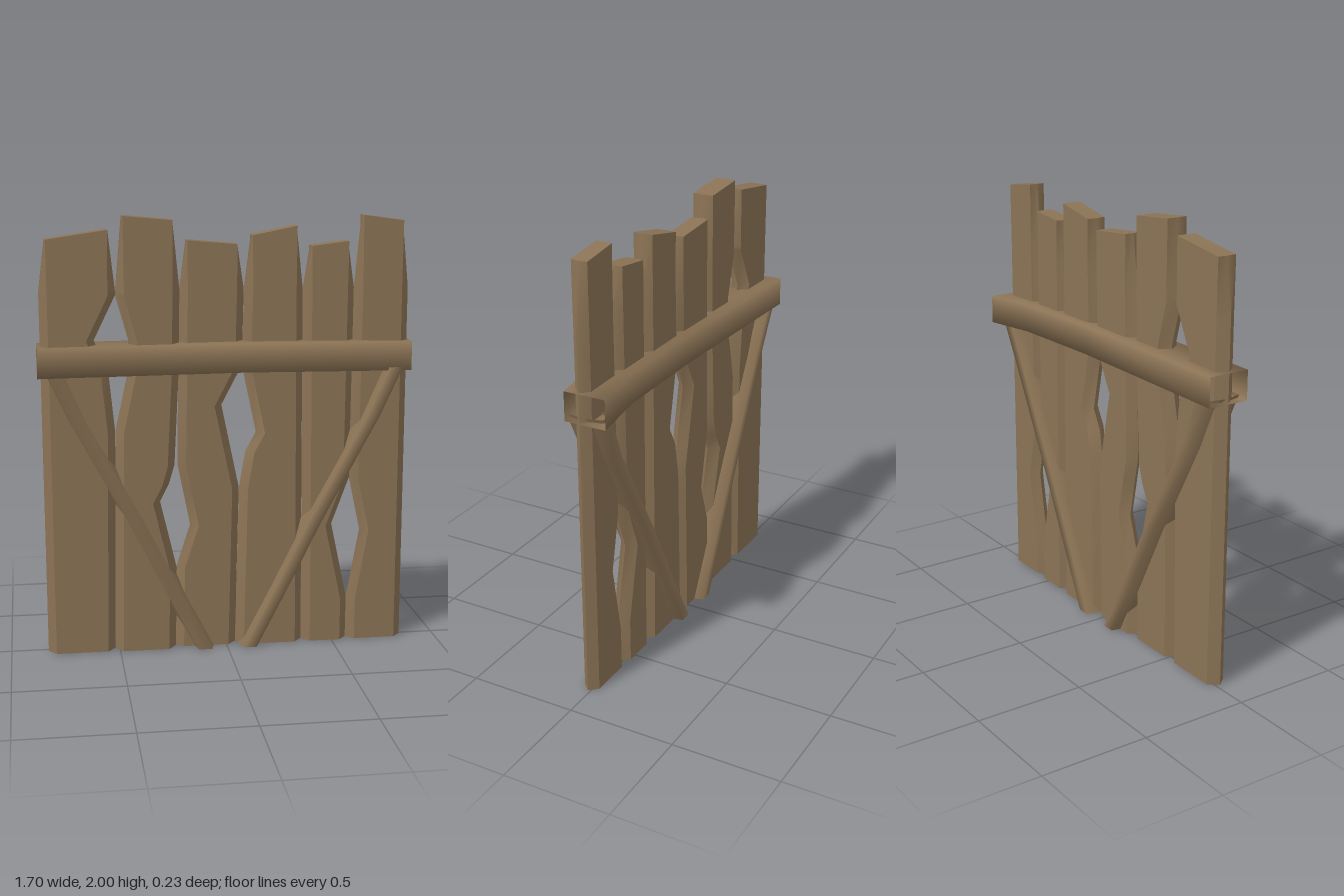
import * as THREE from 'three';
import { toCreasedNormals } from 'three/addons/utils/BufferGeometryUtils.js';

// Skin a list of equal-length rings, optionally closing both ends
function loft(rings, capped) {
  const n = rings[0].length, idx = [];
  for (let i = 0; i < rings.length - 1; i++) {
    for (let j = 0; j < n; j++) {
      const a = i * n + j, b = i * n + (j + 1) % n;
      idx.push(a, a + n, b, b, a + n, b + n);
    }
  }
  if (capped) {
    const top = (rings.length - 1) * n;
    for (let j = 1; j < n - 1; j++) {
      idx.push(0, j, j + 1, top, top + j + 1, top + j);
    }
  }
  const g = new THREE.BufferGeometry();
  g.setAttribute('position', new THREE.Float32BufferAttribute(rings.flat(2), 3));
  g.setIndex(idx);
  g.computeVertexNormals();
  return g;
}

// Six-sided section: flat front and back, pointed sides
function hexRing(yl, yr, xl, xr, zb, zf, inset) {
  const zm = (zb + zf) / 2;
  return [[xr, yr, zm], [xr - inset, yr, zf], [xl + inset, yl, zf],
    [xl, yl, zm], [xl + inset, yl, zb], [xr - inset, yr, zb]];
}

// Plank seams from the ground up to the shoulder height
const SHOULDER = 1.67;
const SEAM_LOW = [-0.83, -0.52, -0.237, 0.045, 0.36, 0.575, 0.84];
const SEAM_HIGH = [-0.835, -0.497, -0.21, 0.083, 0.352, 0.588, 0.84];
const seamX = (i, y) => THREE.MathUtils.lerp(SEAM_LOW[i], SEAM_HIGH[i], y / SHOULDER);

// Depth of a worn hollow at height y, from [y, depth] points
function hollow(points, y) {
  const i = points.findIndex((p) => p[0] >= y);
  if (i < 1) return 0;
  const [y0, d0] = points[i - 1], [y1, d1] = points[i];
  return THREE.MathUtils.mapLinear(y, y0, y1, d0, d1);
}

// Each plank: top heights at both corners, depth range, hollows in its sides
const PLANKS = [
  { top: [1.9, 1.94], z: [-0.025, 0.065], left: [],
    right: [[1.03, 0], [1.3, 0.03], [1.45, 0.095], [1.65, 0]] },
  { top: [2, 1.98], z: [-0.025, 0.073],
    left: [[1.03, 0], [1.3, 0.055], [1.45, 0.058], [1.65, 0]],
    right: [[0.38, 0], [0.7, 0.08], [0.78, 0.04], [0.87, 0.015], [1.3, 0]] },
  { top: [1.89, 1.87], z: [-0.035, 0.045],
    left: [[0.38, 0], [0.58, 0.062], [0.87, 0]],
    right: [[0.75, 0], [1.14, 0.09], [1.32, 0]] },
  { top: [1.91, 1.95], z: [-0.035, 0.055],
    left: [[0.75, 0], [0.92, 0.025], [1.01, 0.072], [1.32, 0]], right: [] },
  { top: [1.86, 1.88], z: [-0.03, 0.055], left: [],
    right: [[0.2, 0], [0.56, 0.079], [0.78, 0]] },
  { top: [1.995, 1.97], z: [-0.025, 0.05],
    left: [[0.2, 0], [0.53, 0.056], [0.78, 0]], right: [] },
];

// Worn plank with a narrowed, slanted top
function plankGeometry({ top, z, left, right }, i) {
  const ys = [...new Set([0, SHOULDER, ...[...left, ...right].map((p) => p[0])])].sort((a, b) => a - b);
  const rings = ys.map((y) => hexRing(y, y, seamX(i, y) + hollow(left, y),
    seamX(i + 1, y) - hollow(right, y), ...z, 0.036));
  rings.push(hexRing(...top, SEAM_HIGH[i] + 0.03, SEAM_HIGH[i + 1] - 0.03, ...z, 0.004));
  return toCreasedNormals(loft(rings, true), 0.8);
}

export function createModel() {
  const model = new THREE.Group();
  const wood = new THREE.MeshStandardMaterial({ color: 0x8b7355, side: THREE.DoubleSide });
  wood.name = 'weathered wood';
  const add = (name, geometry) => {
    const mesh = new THREE.Mesh(geometry, wood);
    mesh.name = name;
    model.add(mesh);
  };

  PLANKS.forEach((plank, i) => add(`plank${i + 1}`, plankGeometry(plank, i)));

  // Hollow cross rail around the planks, bent back at one end: x, middle height, middle depth
  const rail = [[-0.85, 1.36, 0.007], [0.08, 1.37, 0.018], [0.58, 1.365, 0.016], [0.85, 1.358, -0.02]];
  add('crossRail', loft(rail.map(([x, y, z]) =>
    [[x, y - 0.066, z + 0.097], [x, y + 0.066, z + 0.097],
      [x, y + 0.066, z - 0.097], [x, y - 0.066, z - 0.097]]), false));

  // Slanted hollow braces: height, distance from the middle, half depth
  const brace = [[0, 0.105, 0.089], [0.25, 0.235, 0.085], [0.6, 0.41, 0.083], [1.08, 0.672, 0.077], [1.31, 0.775, 0.088]];
  for (const [name, side] of [['rightBrace', -1], ['leftBrace', 1]]) {
    add(name, loft(brace.map(([y, x, d]) =>
      hexRing(y, y, side * x - 0.052, side * x + 0.052, 0.011 - d, 0.011 + d, 0.022)), false));
  }
  return model;
}
